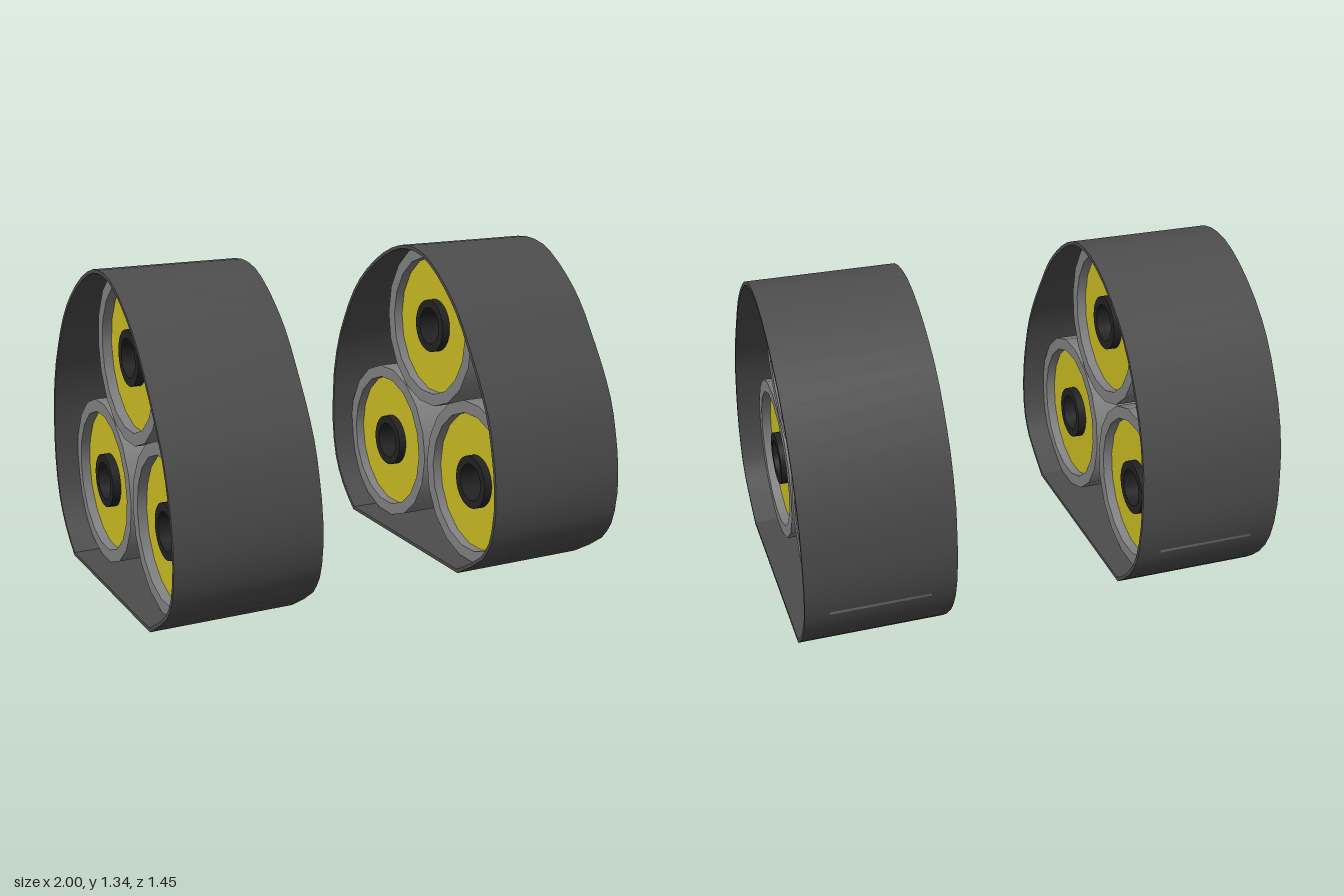
import * as THREE from 'three';
import { toCreasedNormals } from 'three/addons/utils/BufferGeometryUtils.js';

const TRACK_WIDTH = 0.61, TRACK_X = 0.695, BELT_THICKNESS = 0.015;

function material(name, color) {
  const m = new THREE.MeshStandardMaterial({ color });
  m.name = name;
  return m;
}

// Ring of rectangular section around the x axis
function ring(inner, outer, width, sides) {
  const h = width / 2;
  const profile = [[outer, -h], [outer, h], [inner, h], [inner, -h], [outer, -h]]
    .map(([r, y]) => new THREE.Vector2(r, y));
  const geometry = new THREE.LatheGeometry(profile, sides).rotateZ(Math.PI / 2);
  return toCreasedNormals(geometry, 0.6);
}

// Closed belt: curved run over the wheels with a flat strip on the ground
function beltGeometry() {
  const curve = new THREE.SplineCurve([
    [0.505, 0], [0.593, 0.075], [0.66, 0.16], [0.704, 0.262], [0.725, 0.40], [0.722, 0.51],
    [0.71, 0.65], [0.663, 0.81], [0.60, 0.934], [0.53, 1.043], [0.445, 1.137], [0.335, 1.222],
    [0.218, 1.289], [0.10, 1.332], [0, 1.343], [-0.10, 1.331], [-0.195, 1.291], [-0.289, 1.227],
    [-0.367, 1.16], [-0.435, 1.085], [-0.55, 0.92], [-0.61, 0.823], [-0.66, 0.722], [-0.693, 0.612],
    [-0.718, 0.495], [-0.727, 0.36], [-0.706, 0.235], [-0.67, 0.164], [-0.608, 0.10], [-0.446, 0],
  ].map(([x, y]) => new THREE.Vector2(x, y)));
  const outer = [], inner = [], steps = 44;
  for (let i = 0; i <= steps; i++) {
    const p = curve.getPoint(i / steps), t = curve.getTangent(i / steps);
    p.y = Math.max(p.y, 0);
    outer.push(p);
    inner.push(new THREE.Vector2(
      p.x - t.y * BELT_THICKNESS,
      Math.max(p.y + t.x * BELT_THICKNESS, BELT_THICKNESS)));
  }
  const shape = new THREE.Shape(outer);
  shape.holes.push(new THREE.Path(inner));
  const geometry = new THREE.ExtrudeGeometry(shape, { depth: TRACK_WIDTH, bevelEnabled: false });
  geometry.translate(0, 0, -TRACK_WIDTH / 2).rotateY(Math.PI / 2);
  return toCreasedNormals(geometry, 0.4);
}

export function createModel() {
  const model = new THREE.Group();
  model.name = 'trackPair';

  const rubber = material('darkGreyBelt', 0x4d4d4d);
  const grey = material('greyRim', 0x828282);
  const yellow = material('yellowDisc', 0xcbbe22);
  const black = material('blackHub', 0x222222);

  const belt = beltGeometry();
  const wheelParts = [
    ['wheelRim', ring(0.302, 0.355, 0.41, 18), grey],
    ['wheelDisc', ring(0.11, 0.303, 0.33, 18), yellow],
    ['wheelHub', ring(0.08, 0.115, 0.40, 48), black],
  ];
  // Wheel centres as [y, z]
  const wheelCentres = [[0.983, 0], [0.368, 0.365], [0.368, -0.365]];

  for (const side of [1, -1]) {
    const track = new THREE.Group();
    track.name = side > 0 ? 'leftTrack' : 'rightTrack';
    track.position.x = side * TRACK_X;

    const beltMesh = new THREE.Mesh(belt, rubber);
    beltMesh.name = 'belt';
    track.add(beltMesh);

    for (const [y, z] of wheelCentres) {
      const wheel = new THREE.Group();
      wheel.name = 'wheel';
      wheel.position.set(0, y, z);
      for (const [name, geometry, mat] of wheelParts) {
        const mesh = new THREE.Mesh(geometry, mat);
        mesh.name = name;
        wheel.add(mesh);
      }
      track.add(wheel);
    }
    model.add(track);
  }
  return model;
}
